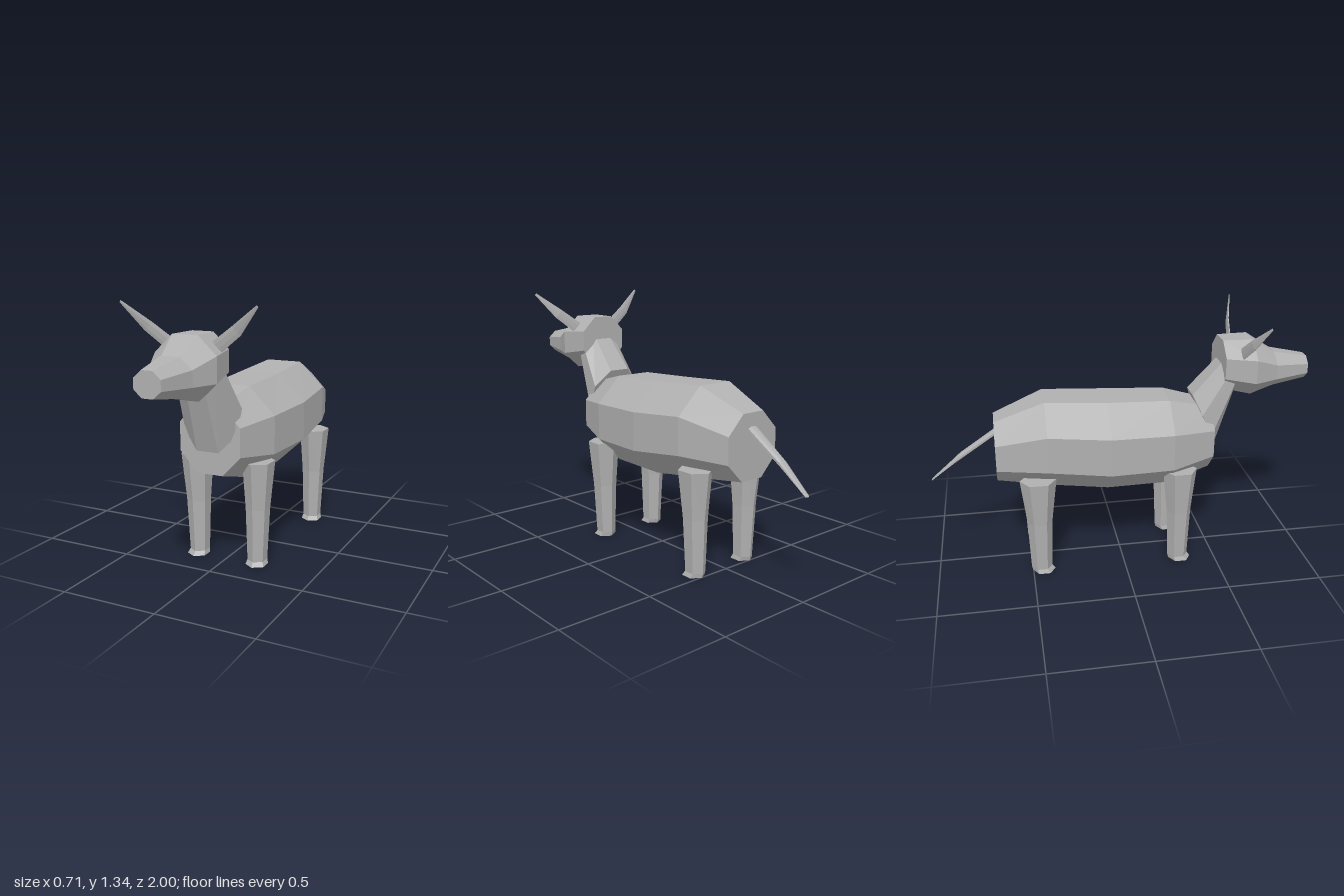
import * as THREE from 'three';

const V = (a) => new THREE.Vector3(...a);

// Loft through faceted rings. Each ring is [centre, halfAxisU, halfAxisV].
function loft(rings, sides, phase) {
  const angles = Array.from({ length: sides }, (_, i) => phase + (i * 2 * Math.PI) / sides);
  const maxC = Math.max(...angles.map((a) => Math.abs(Math.cos(a))));
  const maxS = Math.max(...angles.map((a) => Math.abs(Math.sin(a))));
  const points = rings.map(([c, u, v]) => angles.map((a) => V(c)
    .addScaledVector(V(u), Math.cos(a) / maxC)
    .addScaledVector(V(v), Math.sin(a) / maxS)));

  const tris = [];
  for (let r = 0; r < rings.length - 1; r++) {
    for (let i = 0; i < sides; i++) {
      const j = (i + 1) % sides;
      const [a, b, c, d] = [points[r][i], points[r][j], points[r + 1][j], points[r + 1][i]];
      tris.push([a, b, c], [a, c, d]);
    }
  }
  // End caps
  const first = points[0], last = points[points.length - 1];
  for (let i = 1; i < sides - 1; i++) {
    tris.push([first[0], first[i + 1], first[i]], [last[0], last[i], last[i + 1]]);
  }
  // Turn the shell outward whichever way the rings run
  const mid = V(rings[0][0]);
  let volume = 0;
  for (const [a, b, c] of tris) {
    volume += a.clone().sub(mid).dot(b.clone().sub(mid).cross(c.clone().sub(mid)));
  }
  if (volume < 0) tris.forEach((t) => t.reverse());

  const geometry = new THREE.BufferGeometry().setFromPoints(tris.flat());
  geometry.computeVertexNormals();
  return geometry;
}

const octagon = (rings) => loft(rings, 8, Math.PI / 8);

// Upright octagonal rings along z, from rows of [z, centreY, halfWidth, halfHeight]
const alongZ = (rows) => octagon(rows.map(([z, y, w, h]) => [[0, y, z], [w, 0, 0], [0, h, 0]]));

export function createModel() {
  const model = new THREE.Group();
  model.name = 'hornedAnimal';
  const grey = new THREE.MeshStandardMaterial({ color: 0xb0b0b0 });
  grey.name = 'grey';
  grey.flatShading = true;

  const add = (name, geometry) => {
    const mesh = new THREE.Mesh(geometry, grey);
    mesh.name = name;
    model.add(mesh);
  };

  add('body', alongZ([
    [0.48, 0.675, 0.165, 0.175],
    [0.25, 0.672, 0.24, 0.236],
    [-0.08, 0.678, 0.26, 0.243],
    [-0.4, 0.708, 0.24, 0.232],
    [-0.66, 0.672, 0.16, 0.165],
  ]));

  add('head', alongZ([
    [0.53, 1.075, 0.135, 0.13],
    [0.69, 1.056, 0.16, 0.149],
    [0.815, 1.033, 0.11, 0.092],
    [1.0, 1.03, 0.068, 0.06],
  ]));

  // Neck leans forward, its rings tilted back
  add('neck', octagon([
    [[0, 0.768, 0.442], [0.143, 0, 0], [0, 0.148, -0.062]],
    [[0, 1.065, 0.597], [0.115, 0, 0], [0, 0.05, -0.035]],
  ]));

  // Tail droops behind the body
  add('tail', octagon([
    [[0, 0.79, -0.6], [0.03, 0, 0], [0, 0.024, 0.014]],
    [[0, 0.752, -0.665], [0.03, 0, 0], [0, 0.024, 0.014]],
    [[0, 0.62, -0.86], [0.023, 0, 0], [0, 0.029, 0.02]],
    [[0, 0.508, -0.997], [0.013, 0, 0], [0, 0.004, 0.003]],
  ]));

  for (const [side, s] of [['left', 1], ['right', -1]]) {
    // Flat, outward-curving horns
    const hornRing = (x, y, z, w, t) =>
      [[s * x, y, z], [s * w * 0.72, -w * 0.69, 0], [-s * t * 0.25, 0, t]];
    add(side + 'Horn', octagon([
      hornRing(0.07, 1.11, 0.612, 0.03, 0.005),
      hornRing(0.125, 1.15, 0.618, 0.032, 0.005),
      hornRing(0.228, 1.226, 0.635, 0.029, 0.005),
      hornRing(0.35, 1.339, 0.678, 0.006, 0.002),
    ]));

    // Six-sided legs with slightly flared feet
    for (const [name, z, topHalf] of [['Front', 0.297, 0.091], ['Hind', -0.453, 0.095]]) {
      const legRing = (x, y, dz, halfX, halfZ) =>
        [[s * x, y, z + dz], [0, 0, halfZ], [halfX, 0, 0]];
      add(side + name + 'Leg', loft([
        legRing(0.175, 0.545, 0, 0.07, topHalf),
        legRing(0.171, 0.3, 0, 0.053, 0.066),
        legRing(0.168, 0.022, 0, 0.043, 0.055),
        legRing(0.17, 0, 0.011, 0.05, 0.061),
      ], 6, 0));
    }
  }
  return model;
}
